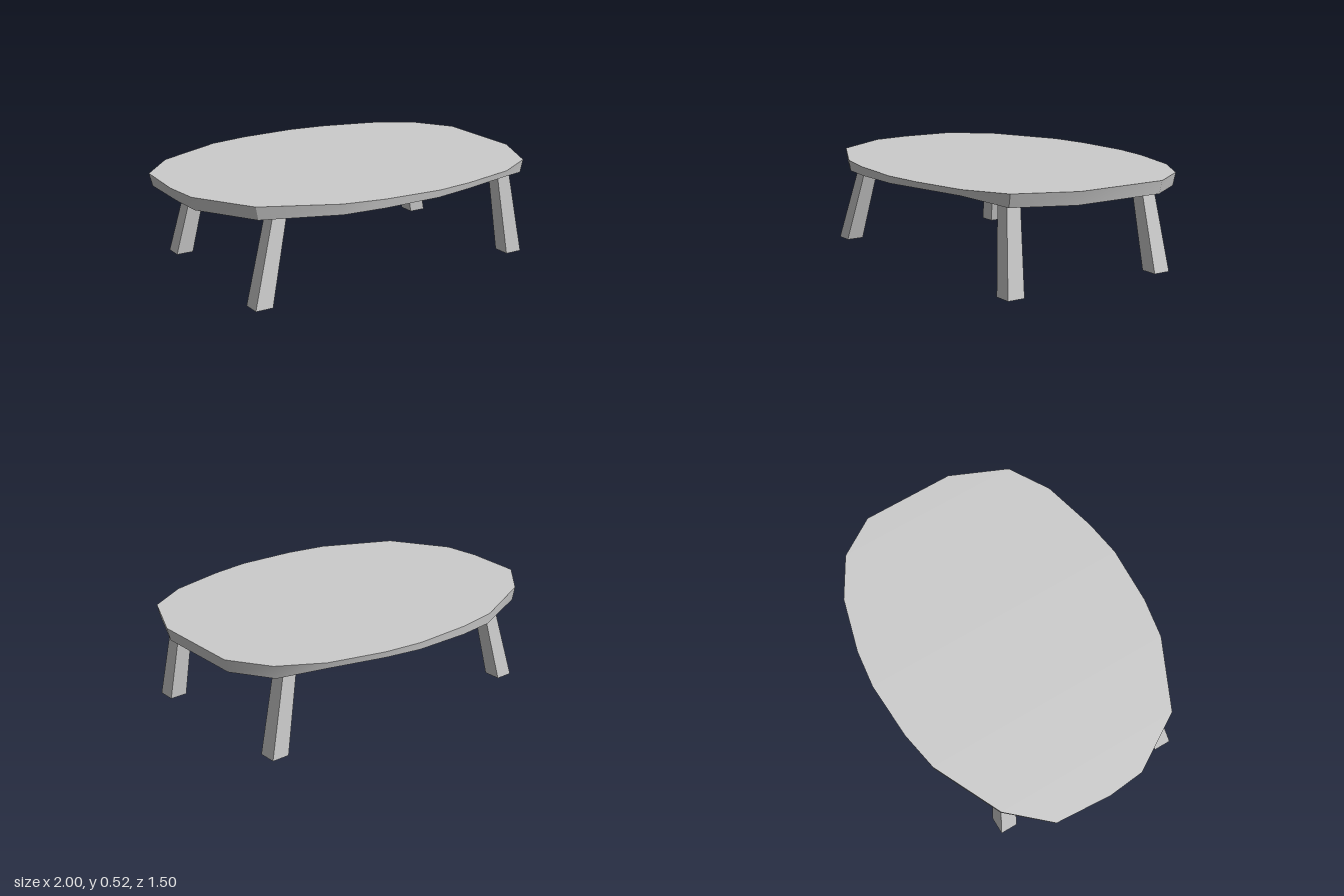
import * as THREE from 'three';
import { toCreasedNormals } from 'three/addons/utils/BufferGeometryUtils.js';

const material = new THREE.MeshStandardMaterial({ color: 0xcccccc });
const TOP_Y = 0.52;

// Stations along the table: [x, front z, back z, underside y]
const stations = [
  [-0.98, 0.20, -0.31, 0.45],
  [-0.79, 0.51, -0.52, 0.45],
  [-0.41, 0.69, -0.70, 0.463],
  [-0.19, 0.73, -0.74, 0.472],
  [0.13, 0.745, -0.755, 0.481],
  [0.34, 0.715, -0.73, 0.487],
  [0.64, 0.64, -0.65, 0.487],
  [0.86, 0.51, -0.52, 0.45],
  [0.995, 0.20, -0.31, 0.45],
];

// Irregular oval slab with a shallow arched underside and slightly undercut rim
function tabletopGeometry() {
  // Outline: rounded end tip, along the front, then back along the rear
  const outline = [
    [-1, 0, 0.45],
    ...stations.map(([x, f, , y]) => [x, f, y]),
    ...stations.map(([x, , b, y]) => [x, b, y]).reverse(),
  ];
  const n = outline.length;
  const upper = outline.map(([x, z]) => [x, TOP_Y, z]);
  const lower = outline.map(([x, z, y]) => [THREE.MathUtils.clamp(x * 0.982, -0.97, 0.98), y, z * 0.993]);

  const positions = [];
  const tri = (a, b, c) => positions.push(...a, ...b, ...c);
  const quad = (a, b, c, d) => { tri(a, b, c); tri(a, c, d); };

  // Rim
  for (let i = 0; i < n; i++) {
    const j = (i + 1) % n;
    quad(lower[i], lower[j], upper[j], upper[i]);
  }
  // Top and underside as strips running front to back
  tri(upper[0], upper[1], upper[n - 1]);
  tri(lower[0], lower[n - 1], lower[1]);
  for (let i = 1; i < stations.length; i++) {
    quad(upper[i], upper[i + 1], upper[n - i - 1], upper[n - i]);
    quad(lower[i], lower[n - i], lower[n - i - 1], lower[i + 1]);
  }

  const geometry = new THREE.BufferGeometry();
  geometry.setAttribute('position', new THREE.Float32BufferAttribute(positions, 3));
  return toCreasedNormals(geometry, 0.56);
}

// Splayed square leg, narrower at the top, with level ends
function legGeometry([bx, bz], [tx, tz]) {
  const height = 0.49, bottomWidth = 0.096, topWidth = 0.078;
  const geometry = new THREE.BoxGeometry(1, 1, 1);
  const p = geometry.attributes.position;
  for (let i = 0; i < p.count; i++) {
    const isTop = p.getY(i) > 0;
    const w = isTop ? topWidth : bottomWidth;
    p.setXYZ(i,
      (isTop ? tx : bx) + p.getX(i) * w,
      isTop ? height : 0,
      (isTop ? tz : bz) + p.getZ(i) * w);
  }
  geometry.computeVertexNormals();
  return geometry;
}

export function createModel() {
  const group = new THREE.Group();
  group.name = 'table';

  const add = (name, geometry) => {
    const mesh = new THREE.Mesh(geometry, material);
    mesh.name = name;
    group.add(mesh);
  };

  add('tabletop', tabletopGeometry());

  // Legs: foot centre, then head centre, as [x, z]
  const legs = {
    frontRightLeg: [[-0.772, 0.498], [-0.63, 0.435]],
    backRightLeg: [[-0.738, -0.472], [-0.633, -0.417]],
    frontLeftLeg: [[0.81, 0.472], [0.743, 0.437]],
    backLeftLeg: [[0.81, -0.445], [0.708, -0.417]],
  };
  for (const [name, [foot, head]] of Object.entries(legs)) add(name, legGeometry(foot, head));

  return group;
}
